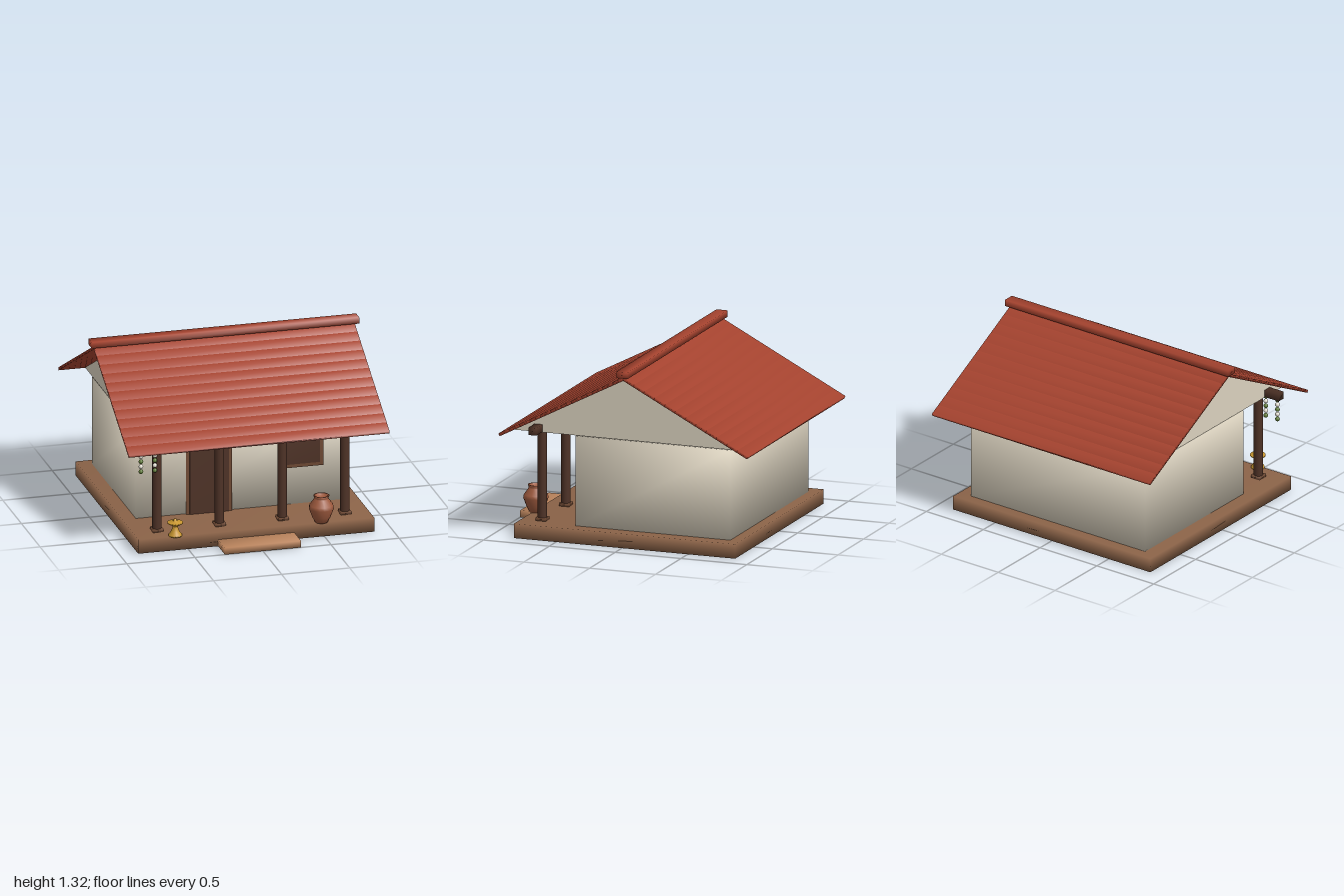
import * as THREE from 'three';
import { mergeVertices } from 'three/addons/utils/BufferGeometryUtils.js';

const paint = (name, color) => {
  const m = new THREE.MeshStandardMaterial({ color });
  m.name = name;
  return m;
};

export function createModel() {
  const model = new THREE.Group();
  model.name = 'verandaHouse';

  const roofTile = paint('roof tile red', 0xa5432f);
  const plaster = paint('lime plaster', 0xdad1be);
  const earth = paint('packed earth', 0x8b6348);
  const stepStone = paint('step stone', 0xb9835c);
  const darkWood = paint('dark wood', 0x4e3226);
  const frameWood = paint('frame wood', 0x704a34);
  const terracotta = paint('terracotta', 0x9e5a3e);
  const brass = paint('brass', 0xc8962f);
  const leaf = paint('leaf green', 0x5f7a38);
  const petal = paint('petal white', 0xe4dfd2);

  const add = (name, geometry, material, x = 0, y = 0, z = 0, parent = model) => {
    const mesh = new THREE.Mesh(geometry, material);
    mesh.name = name;
    mesh.position.set(x, y, z);
    parent.add(mesh);
    return mesh;
  };
  const group = (name) => {
    const g = new THREE.Group();
    g.name = name;
    model.add(g);
    return g;
  };
  // Box with corner normals shared between its faces
  const softBox = (w, h, d) => {
    const g = new THREE.BoxGeometry(w, h, d);
    g.deleteAttribute('normal');
    g.deleteAttribute('uv');
    const merged = mergeVertices(g);
    merged.computeVertexNormals();
    return merged;
  };
  // Box given by its min and max corners
  const block = (name, material, [x0, y0, z0], [x1, y1, z1], parent) =>
    add(name, softBox(x1 - x0, y1 - y0, z1 - z0), material,
      (x0 + x1) / 2, (y0 + y1) / 2, (z0 + z1) / 2, parent);
  const lathe = (name, points, material, x, y, z) =>
    add(name, new THREE.LatheGeometry(points.map(([r, h]) => new THREE.Vector2(r, h)), 16),
      material, x, y, z);

  // Base and house body
  block('platform', earth, [-0.867, 0, -0.86], [0.867, 0.105, 0.82]);
  block('frontStep', stepStone, [-0.28, 0, 0.82], [0.28, 0.05, 1]);
  block('walls', plaster, [-0.767, 0.105, -0.785], [0.767, 0.76, 0.39]);

  // Gable plates over the end walls
  const ridgeZ = -0.045;
  const gable = new THREE.Shape([
    new THREE.Vector2(ridgeZ - 0.925, 0.765),
    new THREE.Vector2(ridgeZ + 0.925, 0.765),
    new THREE.Vector2(ridgeZ, 1.247),
  ]);
  const gableGeometry = new THREE.ExtrudeGeometry(gable, { depth: 0.02, bevelEnabled: false });
  gableGeometry.translate(0, 0, -0.01).rotateY(-Math.PI / 2);
  for (const side of [-1, 1]) add('gable', gableGeometry, plaster, side * 0.757);

  // Roof courses laid down both slopes
  const roof = group('roof');
  const courses = 12, run = 0.943, rise = 0.49;
  const pitch = Math.atan2(rise, run);
  const courseGeometry = softBox(1.914, 0.021, Math.hypot(run, rise) / courses + 0.0005);
  for (const side of [-1, 1]) {
    for (let i = 0; i < courses; i++) {
      const t = (i + 0.5) / courses;
      add('roofCourse', courseGeometry, roofTile,
        0, 1.257 - t * rise, ridgeZ + side * t * run, roof).rotation.x = side * pitch;
    }
  }
  block('ridgeCap', roofTile, [-0.982, 1.268, ridgeZ - 0.042], [0.982, 1.315, ridgeZ + 0.042], roof);

  // Veranda posts and beam
  const veranda = group('veranda');
  const postGeometry = new THREE.CylinderGeometry(0.034, 0.034, 0.665, 16);
  for (const x of [-0.69, -0.23, 0.23, 0.69]) {
    add('post', postGeometry, darkWood, x, 0.4375, 0.672, veranda);
    block('postBase', frameWood, [x - 0.039, 0.105, 0.633], [x + 0.039, 0.127, 0.711], veranda);
  }
  block('beam', darkWood, [-0.89, 0.768, 0.642], [0.89, 0.822, 0.702], veranda);

  // Door and window on the front wall
  block('doorFrame', frameWood, [-0.4, 0.105, 0.385], [-0.065, 0.652, 0.406]);
  block('doorPanel', darkWood, [-0.376, 0.105, 0.405], [-0.09, 0.607, 0.414]);
  block('windowFrame', frameWood, [0.31, 0.383, 0.385], [0.606, 0.65, 0.406]);
  block('windowShutter', darkWood, [0.335, 0.41, 0.405], [0.58, 0.623, 0.413]);

  // Clay pot
  lathe('clayPot', [[0, 0], [0.045, 0], [0.068, 0.045], [0.09, 0.105], [0.085, 0.13],
    [0.052, 0.175], [0.05, 0.185], [0.058, 0.2], [0.045, 0.2], [0.04, 0.18], [0, 0.175]],
  terracotta, 0.483, 0.105, 0.802);

  // Brass lamp
  lathe('brassLamp', [[0, 0], [0.05, 0], [0.048, 0.012], [0.03, 0.035], [0.018, 0.07],
    [0.022, 0.078], [0.055, 0.095], [0.055, 0.105], [0.015, 0.108], [0.009, 0.128], [0, 0.132]],
  brass, -0.59, 0.102, 0.8);

  // Hanging flower garlands
  const garlands = group('garlands');
  const beadGeometry = new THREE.SphereGeometry(0.017, 12, 8);
  for (const x of [-0.82, -0.718]) {
    for (let i = 0; i < 6; i++) {
      add('garlandBead', beadGeometry, i % 2 ? petal : leaf, x, 0.58 + i * 0.0375, 0.722, garlands);
    }
  }
  return model;
}
